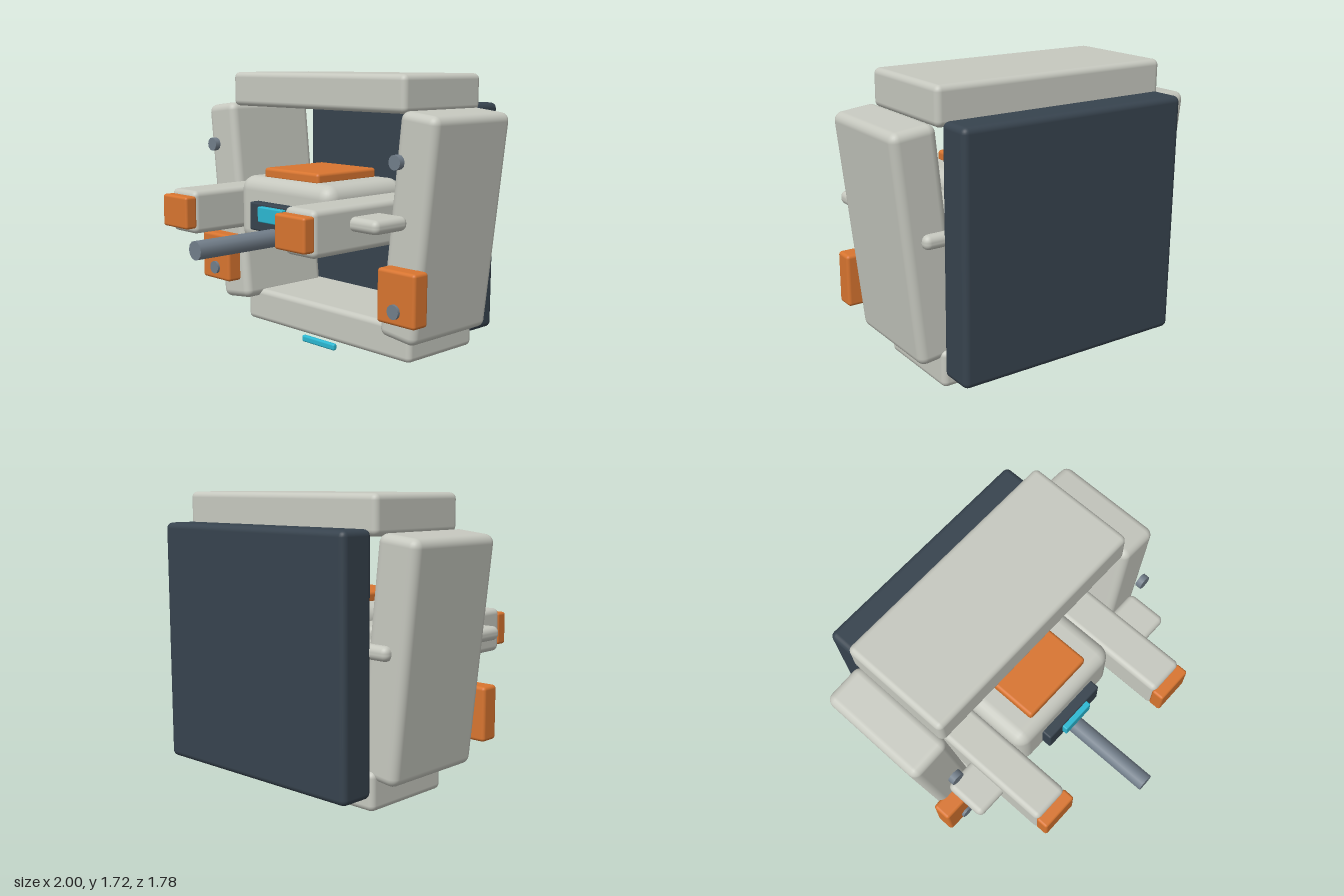
import * as THREE from 'three';
import { RoundedBoxGeometry } from 'three/addons/geometries/RoundedBoxGeometry.js';

const mat = (name, color) => {
  const m = new THREE.MeshStandardMaterial({ color });
  m.name = name;
  return m;
};

export function createModel() {
  const model = new THREE.Group();
  model.name = 'model';
  const shell = mat('light grey shell', 0xc6c8bf);
  const dark = mat('dark slate', 0x37434e);
  const orange = mat('orange', 0xd87530);
  const cyan = mat('cyan light', 0x2cb8d2);
  const metal = mat('grey metal', 0x727e8a);

  // Rounded box given by its extents on each axis
  function box(name, material, [x0, x1], [y0, y1], [z0, z1], radius, segments = 3) {
    const mesh = new THREE.Mesh(new RoundedBoxGeometry(x1 - x0, y1 - y0, z1 - z0, segments, radius), material);
    mesh.position.set((x0 + x1) / 2, (y0 + y1) / 2, (z0 + z1) / 2);
    mesh.name = name;
    model.add(mesh);
    return mesh;
  }

  // Cylinder lying along z
  function rod(name, x, y, [z0, z1], radius, sides) {
    const mesh = new THREE.Mesh(new THREE.CylinderGeometry(radius, radius, z1 - z0, sides), metal);
    mesh.rotation.x = Math.PI / 2;
    mesh.position.set(x, y, (z0 + z1) / 2);
    mesh.name = name;
    model.add(mesh);
  }

  // Surrounding frame
  box('backPanel', dark, [-0.73, 0.73], [0.12, 1.54], [-0.89, -0.675], 0.035);
  box('topBeam', shell, [-0.755, 0.755], [1.5, 1.72], [-0.68, 0.005], 0.035);
  box('bottomBeam', shell, [-0.735, 0.735], [0.04, 0.26], [-0.68, -0.09], 0.035);
  box('bottomLight', cyan, [-0.147, 0.147], [0, 0.043], [-0.082, -0.05], 0.012);

  // Central body with display and barrel
  box('body', shell, [-0.41, 0.41], [0.67, 1.085], [-0.41, 0.25], 0.085);
  box('topPlate', orange, [-0.242, 0.242], [1.07, 1.14], [-0.32, 0.175], 0.02);
  box('displayFrame', dark, [-0.222, 0.222], [0.768, 0.942], [0.23, 0.312], 0.012);
  box('display', cyan, [-0.11, 0.11], [0.832, 0.926], [0.3, 0.345], 0.008);
  rod('barrel', 0, 0.745, [0.305, 0.89], 0.056, 12);

  // Parts repeated on the left and the right
  for (const s of [1, -1]) {
    const side = s > 0 ? 'left' : 'right';
    const span = (a, b) => (s > 0 ? [a, b] : [-b, -a]);

    const wall = box(side + 'SideWall', shell, span(0.662, 0.932), [0.197, 1.513], [-0.655, 0.03], 0.05);
    wall.rotation.z = -s * 0.112;

    box(side + 'Arm', shell, span(0.405, 0.648), [0.745, 1.01], [-0.55, 0.59], 0.035);
    box(side + 'ArmTip', orange, span(0.403, 0.646), [0.782, 0.98], [0.575, 0.657], 0.016);
    box(side + 'FrontStub', shell, span(0.58, 0.842), [0.865, 0.947], [0.052, 0.318], 0.036);
    box(side + 'RearStub', shell, span(0.58, 0.842), [0.865, 0.947], [-0.7, -0.436], 0.036);

    box(side + 'FootBlock', orange, span(0.672, 0.955), [0.33, 0.645], [0.008, 0.128], 0.02);
    rod(side + 'UpperBolt', s * 0.81, 1.247, [0.108, 0.145], 0.043, 12);
    rod(side + 'LowerBolt', s * 0.81, 0.413, [0.108, 0.145], 0.043, 12);
  }
  return model;
}
